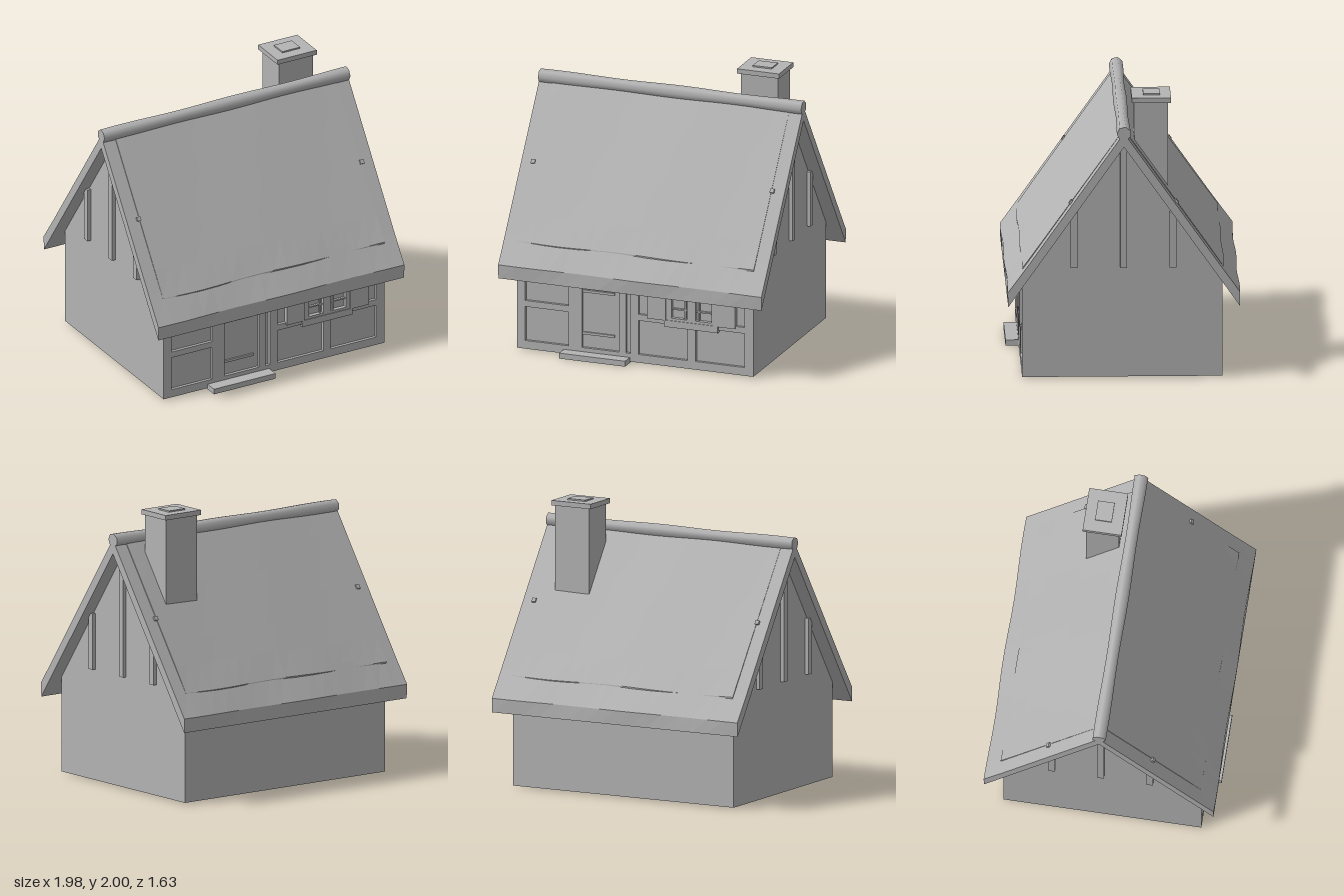
import * as THREE from 'three';

const grey = new THREE.MeshStandardMaterial({ color: 0xb4b4b4 });
grey.name = 'stoneGrey';
const greySheet = new THREE.MeshStandardMaterial({ color: 0xb4b4b4, side: THREE.DoubleSide });
greySheet.name = 'stoneGreySheet';

// Slope of the roof: top surface height at distance z from the ridge
const RIDGE = 1.79, EAVE = 0.64, REACH = 0.81, THICK = 0.1;
const roofTop = (z) => RIDGE + (EAVE - RIDGE) * Math.abs(z) / REACH;
const roofUnder = (z) => roofTop(z) - THICK;

function add(parent, name, geometry, material = grey) {
  const mesh = new THREE.Mesh(geometry, material);
  mesh.name = name;
  parent.add(mesh);
  return mesh;
}

// Box given by its limits
function block(parent, name, x0, x1, y0, y1, z0, z1) {
  const g = new THREE.BoxGeometry(x1 - x0, y1 - y0, z1 - z0);
  g.translate((x0 + x1) / 2, (y0 + y1) / 2, (z0 + z1) / 2);
  return add(parent, name, g);
}

const rect = (T, x0, x1, y0, y1) => new T([
  new THREE.Vector2(x0, y0), new THREE.Vector2(x1, y0),
  new THREE.Vector2(x1, y1), new THREE.Vector2(x0, y1),
]);

// Flat frame with rectangular openings
function frame(parent, name, outer, holes, z0, z1) {
  const shape = rect(THREE.Shape, ...outer);
  shape.holes = holes.map((h) => rect(THREE.Path, ...h));
  const g = new THREE.ExtrudeGeometry(shape, { depth: z1 - z0, bevelEnabled: false });
  g.translate(0, 0, z0);
  return add(parent, name, g);
}

// Sloping slab from the ridge down to zEnd; lift(x, t) raises the top surface
function slopeSlab(halfWidth, zEnd, thick, lift, edgeWave) {
  const g = new THREE.BoxGeometry(halfWidth * 2, 1, 1, 16, 1, 6);
  const p = g.attributes.position;
  for (let i = 0; i < p.count; i++) {
    const x = p.getX(i), t = p.getZ(i) + 0.5, top = p.getY(i) > 0;
    const z = zEnd * t;
    const y = roofTop(z) + (top ? lift(x, t) : -thick);
    p.setXYZ(i, x, y, z + (top && t > 0.99 ? edgeWave(x) : 0));
  }
  const flat = g.toNonIndexed();
  flat.computeVertexNormals();
  return flat;
}

function buildWalls(house) {
  const walls = new THREE.Group();
  walls.name = 'walls';
  house.add(walls);

  // Thin gable walls and their upright timbers
  const gable = new THREE.Shape([
    [-0.71, 0.01], [0.69, 0.01], [0.69, roofUnder(0.69) + 0.01], [0, roofUnder(0) + 0.01],
    [-0.71, roofUnder(0.71) + 0.01],
  ].map(([u, y]) => new THREE.Vector2(u, y)));
  for (const side of [-1, 1]) {
    const g = new THREE.ShapeGeometry(gable);
    g.rotateY(Math.PI / 2);
    g.translate(side * 0.888, 0, 0);
    add(walls, side > 0 ? 'leftGable' : 'rightGable', g, greySheet);
    for (const z of [-0.345, 0, 0.347]) {
      block(walls, 'gableTimber', side * 0.9 - 0.015, side * 0.9 + 0.015,
        0.8, roofUnder(Math.abs(z) + 0.02) + 0.03, z - 0.024, z + 0.024);
    }
  }

  // Back wall
  const back = new THREE.PlaneGeometry(1.776, 0.71);
  back.translate(0, 0.365, -0.69);
  add(walls, 'backWall', back, greySheet);

  // Front timber frame with recessed panels
  const openings = [
    [-0.825, -0.5, 0.07, 0.32], [-0.825, -0.5, 0.365, 0.62],
    [-0.4, -0.12, 0.07, 0.62], [-0.07, -0.035, 0.07, 0.62],
    [0.025, 0.395, 0.07, 0.32], [0.025, 0.395, 0.365, 0.62],
    [0.455, 0.82, 0.07, 0.32], [0.455, 0.82, 0.365, 0.62],
  ];
  frame(walls, 'frontTimberFrame', [-0.888, 0.888, 0.01, 0.69], openings, 0.64, 0.71);
  for (const [x0, x1, y0, y1] of openings) {
    block(walls, 'frontPanel', x0, x1, y0, y1, 0.665, 0.688);
  }
}

function buildDoorAndWindow(house) {
  // Door straps and doorstep
  for (const y of [0.165, 0.475]) block(house, 'doorStrap', -0.4, -0.16, y, y + 0.018, 0.68, 0.7);
  block(house, 'doorstep', -0.535, -0.04, 0, 0.04, 0.68, 0.8);

  // Window with two casements, glazing bars, shutters and sill
  const win = new THREE.Group();
  win.name = 'window';
  house.add(win);
  const panes = [[0.275, 0.392, 0.37, 0.62], [0.455, 0.575, 0.37, 0.62]];
  frame(win, 'windowFrame', [0.235, 0.605, 0.35, 0.65], panes, 0.685, 0.717);
  for (const [x0, x1] of panes) {
    const c = (x0 + x1) / 2 + (x0 < 0.4 ? 0.04 : -0.04);
    block(win, 'glazingBar', c - 0.006, c + 0.006, 0.37, 0.62, 0.685, 0.705);
    for (const y of [0.435, 0.52]) block(win, 'glazingBar', x0, x1, y - 0.005, y + 0.005, 0.685, 0.705);
  }
  block(win, 'shutter', 0.095, 0.235, 0.35, 0.65, 0.68, 0.726);
  block(win, 'shutter', 0.605, 0.755, 0.35, 0.65, 0.68, 0.726);
  block(win, 'windowSill', 0.222, 0.625, 0.303, 0.352, 0.69, 0.722);
}

function buildRoof(house) {
  const roof = new THREE.Group();
  roof.name = 'roof';
  house.add(roof);

  for (const side of [1, -1]) {
    const slope = new THREE.Group();
    slope.name = side > 0 ? 'frontSlope' : 'backSlope';
    if (side < 0) slope.rotation.y = Math.PI;
    roof.add(slope);
    add(slope, 'roofSlab', slopeSlab(0.988, REACH, THICK, () => 0,
      (x) => 0.005 * Math.sin(x * 7 + 1)));
    // Raised covering with an uneven lower edge
    add(slope, 'roofCovering', slopeSlab(0.89, 0.706, 0.03,
      (x, t) => 0.006 + 0.004 * Math.sin(x * 6 + t * 2),
      (x) => 0.004 * Math.sin(x * 8)));
    for (const x of [-0.897, 0.897]) {
      const peg = add(slope, 'roofPeg', new THREE.BoxGeometry(0.03, 0.03, 0.03));
      peg.position.set(x, roofTop(0.365), 0.365);
      peg.rotation.x = 0.96;
    }
  }

  // Wavy ridge roll
  const roll = new THREE.CylinderGeometry(0.047, 0.047, 1.976, 7, 20);
  roll.rotateZ(Math.PI / 2);
  const p = roll.attributes.position;
  for (let i = 0; i < p.count; i++) {
    const x = p.getX(i), s = 1 + 0.07 * Math.sin(x * 7 + 1);
    p.setXYZ(i, x, p.getY(i) * s + 1.785, p.getZ(i) * s);
  }
  add(roof, 'ridgeRoll', roll);
}

function buildChimney(house) {
  const chimney = new THREE.Group();
  chimney.name = 'chimney';
  house.add(chimney);
  block(chimney, 'chimneyStack', 0.487, 0.763, 1.27, 1.957, -0.315, -0.08);
  block(chimney, 'chimneyCap', 0.465, 0.78, 1.955, 1.99, -0.335, -0.06);
  block(chimney, 'chimneyFlue', 0.55, 0.693, 1.985, 2.0, -0.26, -0.142);
}

export function createModel() {
  const house = new THREE.Group();
  house.name = 'cottage';
  buildWalls(house);
  buildDoorAndWindow(house);
  buildRoof(house);
  buildChimney(house);
  return house;
}
